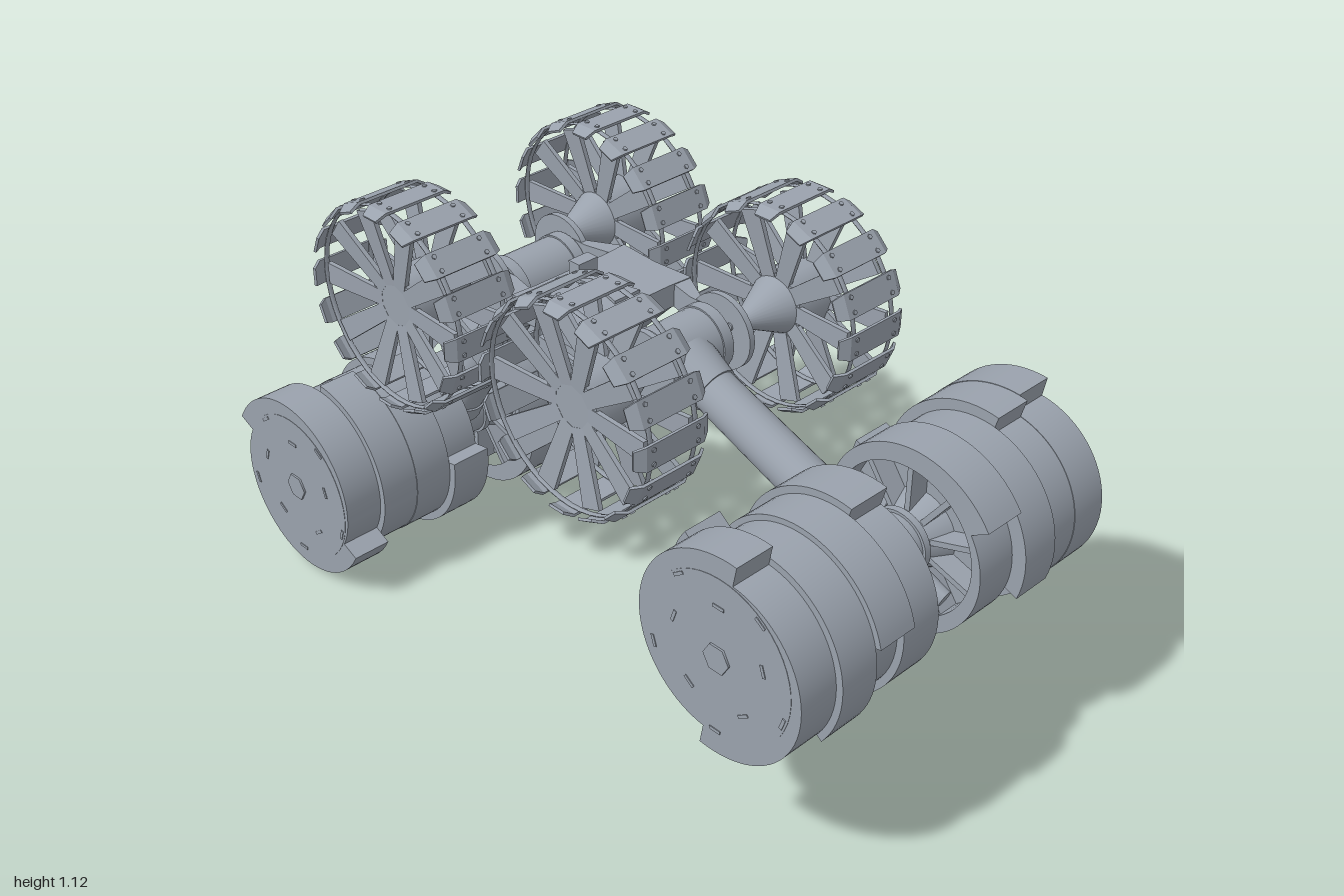
import * as THREE from 'three';
import { toCreasedNormals } from 'three/addons/utils/BufferGeometryUtils.js';

const metal = new THREE.MeshStandardMaterial({ color: 0x9aa2ad });
metal.name = 'bare metal grey';

function add(parent, name, geo, x = 0, y = 0, z = 0) {
  const m = new THREE.Mesh(geo, metal);
  m.name = name;
  m.position.set(x, y, z);
  parent.add(m);
  return m;
}
const box = (w, h, d) => new THREE.BoxGeometry(w, h, d);
// cylinder whose axis runs along x; r1 is the radius at +x
const axle = (r1, r0, len, n = 32) => new THREE.CylinderGeometry(r1, r0, len, n).rotateZ(-Math.PI / 2);
const poly = pts => new THREE.Shape(pts.map(p => new THREE.Vector2(p[0], p[1])));
const extrude = (shape, depth) => new THREE.ExtrudeGeometry(shape, { depth, bevelEnabled: false, curveSegments: 32 });

// tapered round bar between two points
function bar(parent, name, a, b, ra, rb, n = 28) {
  const A = new THREE.Vector3(...a), d = new THREE.Vector3(...b).sub(A);
  const m = add(parent, name, new THREE.CylinderGeometry(rb, ra, d.length(), n));
  m.position.copy(A).addScaledVector(d, 0.5);
  m.quaternion.setFromUnitVectors(new THREE.Vector3(0, 1, 0), d.normalize());
  return m;
}

// drum ring: two scoop lips spiralling outward, the step sits at the given angle
function scoopRing(width, degrees, spin) {
  const pts = [], steps = 40;
  for (let k = 0; k < 2; k++) {
    for (let i = 0; i <= steps; i++) {
      const t = i / steps, a = (k + t) * Math.PI + THREE.MathUtils.degToRad(degrees);
      const r = 0.204 + 0.05 * t;
      pts.push([Math.cos(a) * r * spin, Math.sin(a) * r]);
    }
  }
  const s = poly(pts);
  s.holes.push(new THREE.Path().absarc(0, 0, 0.188, 0, Math.PI * 2, true));
  return toCreasedNormals(extrude(s, width).rotateY(Math.PI / 2), 0.4);
}

// step angles of the four rings, from inner to outer
const frontSteps = { left: [150, 22, 105, 100], right: [105, 169, 39, 100] };
const rearSteps = { left: [9, 73, 155, 108], right: [9, 85, 92, 155] };

// digging drum on the model's left (side = 1) or right (side = -1)
function drum(side, spin) {
  const g = new THREE.Group();
  g.name = 'diggingDrum';
  const edges = [0.078, 0.19, 0.296, 0.4, 0.503];
  const angles = (spin > 0 ? frontSteps : rearSteps)[side > 0 ? 'left' : 'right'];
  angles.forEach((a, i) => {
    const w = edges[i + 1] - edges[i];
    add(g, 'scoopRing', scoopRing(w, a, spin), side > 0 ? edges[i] : -edges[i + 1]);
  });
  add(g, 'endPlate', axle(0.2, 0.2, 0.02, 48), side * 0.494);
  add(g, 'endHub', axle(0.036, 0.036, 0.012, 6), side * 0.503);
  add(g, 'innerDisc', axle(0.19, 0.19, 0.02, 40), side * 0.15);
  add(g, 'innerHub', side > 0 ? axle(0.1, 0.06, 0.09) : axle(0.06, 0.1, 0.09), side * 0.1);
  for (let i = 0; i < 10; i++) {
    const s = new THREE.Group();
    s.name = 'innerSpoke';
    s.rotation.x = i / 10 * Math.PI * 2;
    add(s, 'spokeFin', box(0.06, 0.15, 0.014), side * 0.115, 0.12);
    // small slot covers on the outer face
    add(s, 'slotCover', box(0.006, 0.008, 0.03), side * 0.503, i % 2 ? 0.19 : 0.13);
    g.add(s);
  }
  return g;
}

// bent tread plate: arch section across x, running tangentially in z
const treadGeo = extrude(poly([
  [-0.11, -0.015], [-0.085, 0], [0.085, 0], [0.11, -0.015],
  [0.107, -0.021], [0.083, -0.007], [-0.083, -0.007], [-0.107, -0.021]
]), 0.062).translate(0, 0, -0.031);
// narrow the bent ends of the plate
const tp = treadGeo.attributes.position;
for (let i = 0; i < tp.count; i++) if (Math.abs(tp.getX(i)) > 0.1) tp.setZ(i, tp.getZ(i) * 0.75);
treadGeo.computeVertexNormals();
const boltGeo = new THREE.CylinderGeometry(0.006, 0.006, 0.004, 6);
const spokeGeo = extrude(poly([[-0.02, 0.05], [0.02, 0.05], [0.028, 0.238], [-0.028, 0.238]]), 0.012)
  .rotateY(Math.PI / 2);

function wheel(side) {
  const g = new THREE.Group();
  g.name = 'treadedWheel';
  add(g, 'wheelHub', axle(0.085, 0.085, 0.11, 10));
  for (const x of [-0.066, 0.066]) {
    const rim = add(g, 'wheelRim', new THREE.TorusGeometry(0.252, 0.0025, 6, 48).rotateY(Math.PI / 2), x);
    rim.scale.x = 3;
  }
  for (let i = 0; i < 16; i++) {
    const t = new THREE.Group();
    t.name = 'treadPlate';
    t.rotation.x = i / 16 * Math.PI * 2;
    add(t, 'plate', treadGeo, 0, 0.261, 0);
    for (const x of [-0.065, 0.065]) for (const z of [-0.018, 0.018]) add(t, 'bolt', boltGeo, x, 0.262, z);
    g.add(t);
  }
  for (let i = 0; i < 10; i++) {
    const s = new THREE.Group();
    s.name = 'wheelSpoke';
    s.rotation.x = (i / 10 + 0.25) * Math.PI * 2;
    for (const d of [-1, 1]) {
      const b = add(s, 'spokeBlade', spokeGeo, d * 0.045 - 0.006, 0, 0);
      b.rotation.z = -d * 0.09;
    }
    g.add(s);
  }
  // motor cone pointing inboard
  add(g, 'motorCone', side > 0 ? axle(0.075, 0.008, 0.14) : axle(0.008, 0.075, 0.14), -side * 0.12);
  return g;
}

// shoulder joint, arm, wrist and its pair of drums; dir = +1 front, -1 rear
function armAssembly(shoulder, wrist, dir) {
  const g = new THREE.Group();
  g.name = dir > 0 ? 'frontArm' : 'rearArm';
  const [sy, sz] = shoulder, [wy, wz] = wrist;
  add(g, 'shoulderHousing', axle(0.08, 0.08, 0.19), 0, sy, sz);
  for (const s of [-1, 1]) {
    add(g, 'shoulderCollar', axle(0.084, 0.084, 0.03), s * 0.09, sy, sz);
    add(g, 'sideFlange', axle(0.095, 0.095, 0.016), s * 0.122, sy + 0.02, sz + dir * 0.03);
  }
  const at = t => [0, sy + (wy - sy) * t, sz + (wz - sz) * t];
  bar(g, 'armTube', at(0), at(1), 0.054, 0.06);
  bar(g, 'armRootSleeve', at(0.05), at(0.2), 0.075, 0.06);
  bar(g, 'armEndSleeve', at(0.82), at(0.9), 0.064, 0.068);
  add(g, 'wristHousing', axle(0.075, 0.075, 0.14), 0, wy, wz);
  add(g, 'drumAxle', axle(0.035, 0.035, 0.96, 16), 0, wy, wz);
  const k = 0.165 / Math.hypot(wy - sy, wz - sz);
  for (const s of [-1, 1]) {
    add(g, 'wristCollar', axle(0.082, 0.082, 0.018), s * 0.066, wy, wz);
    bar(g, 'wristFork', [s * 0.025, wy, wz], [s * 0.04, ...at(1 + k).slice(1)], 0.034, 0.02, 10);
    const d = drum(s, dir);
    d.position.set(0, wy, wz);
    g.add(d);
  }
  return g;
}

function chassis() {
  const g = new THREE.Group();
  g.name = 'chassis';
  const cz = -0.125;
  // main deck
  const deck = poly([[-0.18, -0.115], [-0.11, -0.11], [0.11, -0.11], [0.18, -0.115],
    [0.172, 0], [0.18, 0.115], [0.11, 0.11], [-0.11, 0.11], [-0.18, 0.115], [-0.172, 0]]);
  add(g, 'deck', extrude(deck, 0.06).rotateX(-Math.PI / 2), 0, 0.84, cz);
  // tapering belly with a pan below
  const belly = new THREE.CylinderGeometry(0.2, 0.1, 0.07, 4, 1).rotateY(Math.PI / 4);
  add(g, 'belly', belly, 0, 0.805, cz).scale.z = 0.75;
  const pan = poly([[-0.07, 0.07], [0.07, 0.07], [0.07, 0.03], [0.045, 0], [-0.045, 0], [-0.07, 0.03]]);
  add(g, 'bellyPan', extrude(pan, 0.16).rotateY(Math.PI / 2), -0.08, 0.715, cz);
  // raised saddle and sensor on the deck
  const saddle = poly([[-0.04, -0.085], [0.04, -0.085], [0.018, 0], [0.04, 0.085], [-0.04, 0.085], [-0.018, 0]]);
  add(g, 'saddle', extrude(saddle, 0.012).rotateX(-Math.PI / 2), 0, 0.896, cz);
  add(g, 'sensorBox', box(0.06, 0.05, 0.035), 0, 0.922, -0.19);
  // fork cheeks from the deck to the shoulder flanges
  const cheek = [[0.18, 0.11], [0.13, 0.2], [0.13, 0.25], [0.112, 0.25], [0.112, 0.18], [0.13, 0.1]];
  for (const sx of [-1, 1]) for (const sz of [-1, 1]) {
    const pts = cheek.map(p => [p[0] * sx, p[1] * sz]);
    add(g, 'forkCheek', extrude(poly(pts), 0.06).rotateX(-Math.PI / 2), 0, 0.838, cz);
  }
  return g;
}

export function createModel() {
  const model = new THREE.Group();
  model.name = 'excavationRover';
  model.add(chassis());
  model.add(armAssembly([0.825, 0.12], [0.585, 0.745], 1));
  model.add(armAssembly([0.825, -0.37], [0.265, -0.738], -1));
  for (const s of [-1, 1]) {
    for (const z of [0.18, -0.43]) {
      const w = wheel(s);
      w.position.set(s * 0.32, 0.87, z);
      model.add(w);
      // stub axle into the shoulder flange
      add(model, 'wheelAxle', axle(0.01, 0.01, 0.06, 12), s * 0.14, 0.87, z);
    }
  }
  return model;
}
